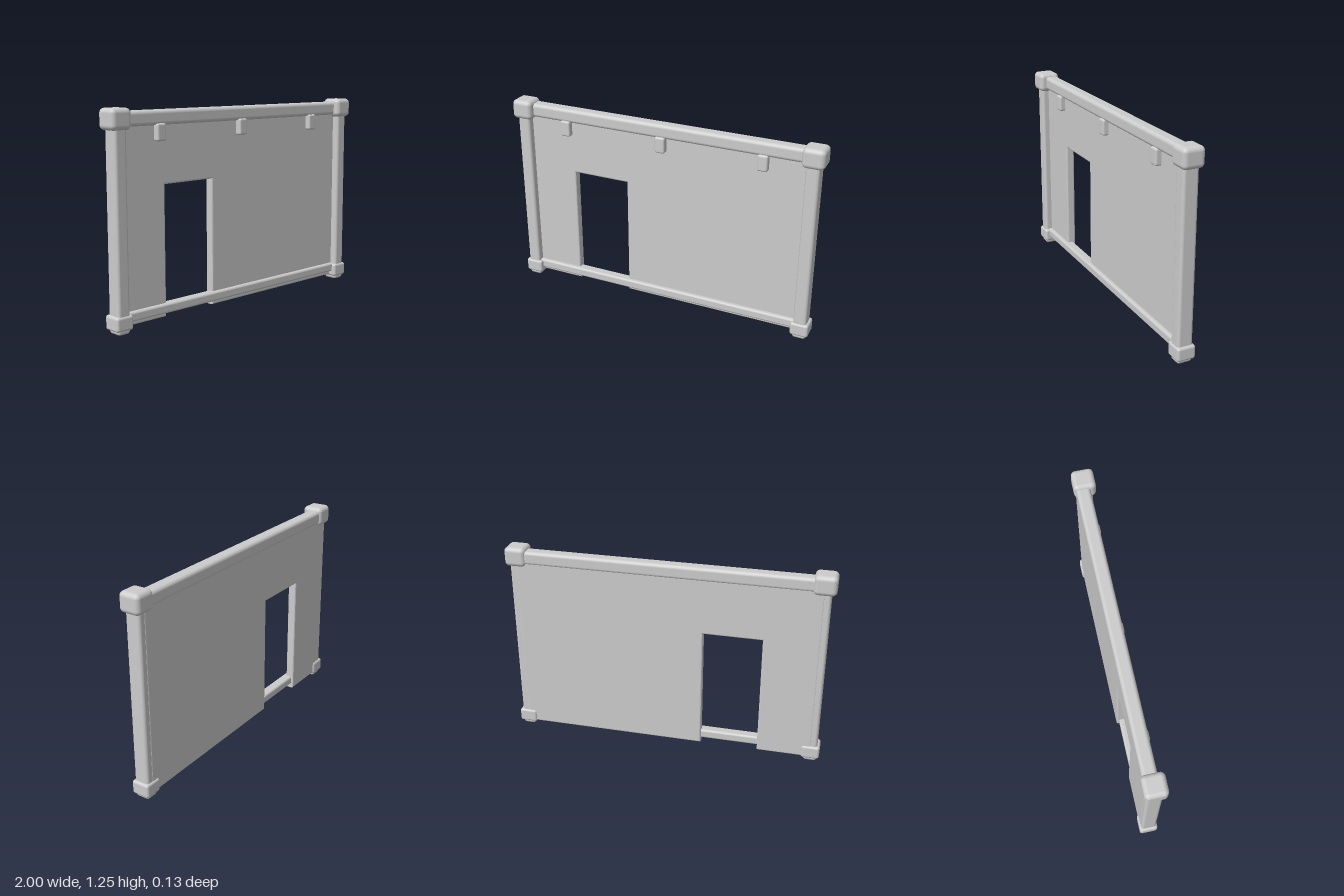
import * as THREE from 'three';
import { RoundedBoxGeometry } from 'three/addons/geometries/RoundedBoxGeometry.js';

export function createModel() {
  const group = new THREE.Group();
  const grey = new THREE.MeshStandardMaterial({ color: 0xcccccc });
  grey.name = 'light grey';

  // Rounded box given by its limits on each axis
  function block(name, [x0, x1], [y0, y1], [z0, z1], radius) {
    const geometry = new RoundedBoxGeometry(x1 - x0, y1 - y0, z1 - z0, 4, radius);
    const mesh = new THREE.Mesh(geometry, grey);
    mesh.name = name;
    mesh.position.set((x0 + x1) / 2, (y0 + y1) / 2, (z0 + z1) / 2);
    group.add(mesh);
    return mesh;
  }

  // Wall panel with a doorway open at the bottom
  const outline = [
    [-0.935, 0.03], [-0.597, 0.03], [-0.597, 0.805], [-0.235, 0.805],
    [-0.235, 0.03], [0.935, 0.03], [0.935, 1.18], [-0.935, 1.18],
  ];
  const shape = new THREE.Shape(outline.map(([x, y]) => new THREE.Vector2(x, y)));
  const bevel = 0.01;
  const panel = new THREE.Mesh(new THREE.ExtrudeGeometry(shape, {
    depth: 0.055 - 2 * bevel, bevelEnabled: true, bevelSize: bevel,
    bevelThickness: bevel, bevelOffset: -bevel, bevelSegments: 3,
  }), grey);
  panel.name = 'wallPanel';
  panel.position.z = -0.05 + bevel;
  group.add(panel);

  // Horizontal beams
  block('topBeam', [-0.92, 0.92], [1.144, 1.23], [-0.055, 0.03], 0.022);
  block('bottomBeam', [-0.92, 0.92], [0.055, 0.113], [-0.035, 0.03], 0.014);

  // Corner posts with caps, base blocks and feet
  for (const side of [-1, 1]) {
    const label = side > 0 ? 'left' : 'right';
    const span = (a, b) => (side > 0 ? [a, b] : [-b, -a]);
    block(label + 'Post', span(0.89, 0.972), [0.06, 1.18], [-0.048, 0.048], 0.018);
    block(label + 'Cap', span(0.866, 1), [1.13, 1.25], [-0.067, 0.067], 0.028);
    block(label + 'Base', span(0.874, 0.988), [0.022, 0.108], [-0.059, 0.056], 0.016);
    block(label + 'Foot', span(0.89, 0.972), [0, 0.05], [-0.046, 0.046], 0.016);
  }

  // Pegs hanging below the top beam
  for (const x of [-0.64, 0, 0.638]) {
    block('peg', [x - 0.032, x + 0.032], [1.055, 1.155], [-0.015, 0.04], 0.012);
  }

  return group;
}
